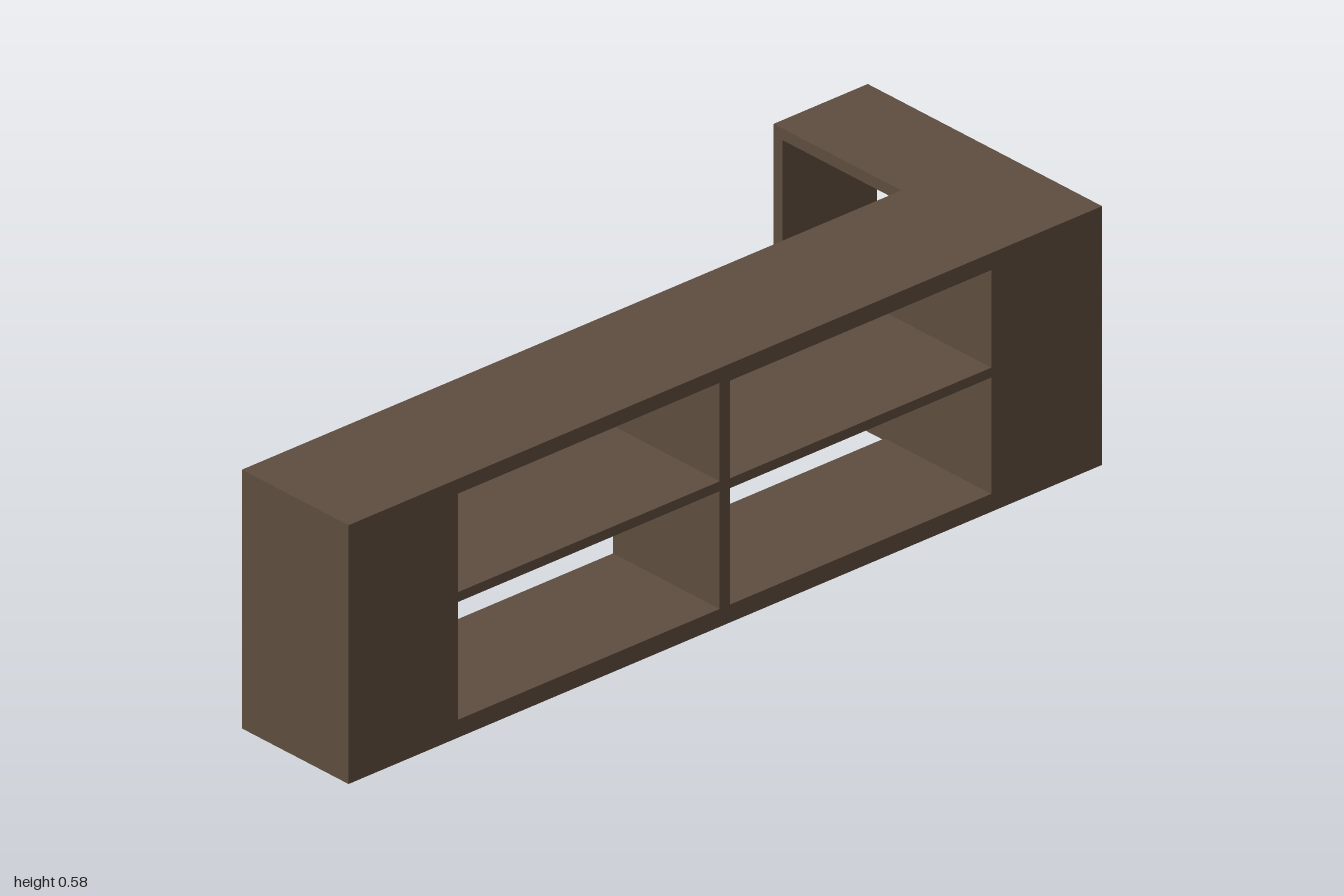
import * as THREE from 'three';

const HEIGHT = 0.578;
const wood = new THREE.MeshStandardMaterial({ color: 0x5f4d3f, flatShading: true });

// Rectangle outline added to a shape or path
function rect(path, x0, y0, x1, y1) {
  path.moveTo(x0, y0);
  path.lineTo(x1, y0);
  path.lineTo(x1, y1);
  path.lineTo(x0, y1);
  path.closePath();
  return path;
}

// Solid block with rectangular openings running right through it
function piercedBlock(name, x0, x1, openings, depth) {
  const shape = rect(new THREE.Shape(), x0, 0, x1, HEIGHT);
  for (const o of openings) shape.holes.push(rect(new THREE.Path(), ...o));
  const geometry = new THREE.ExtrudeGeometry(shape, { depth, bevelEnabled: false });
  const mesh = new THREE.Mesh(geometry, wood);
  mesh.name = name;
  return mesh;
}

export function createModel() {
  const model = new THREE.Group();
  model.name = 'cornerShelf';

  // Long run: four open compartments between two solid ends
  const longShelf = piercedBlock('longShelf', -1, 1, [
    [-0.71, 0.04, -0.015, 0.303],
    [-0.71, 0.325, -0.015, 0.545],
    [0.012, 0.04, 0.706, 0.3],
    [0.012, 0.322, 0.706, 0.54],
  ], 0.314);
  longShelf.position.z = 0.031;
  model.add(longShelf);

  // Short return at the back, open sideways with two compartments
  const returnShelf = piercedBlock('returnShelf', -0.031, 0.345, [
    [-0.008, 0.105, 0.318, 0.254],
    [-0.008, 0.323, 0.318, 0.552],
  ], 0.25);
  returnShelf.geometry.rotateY(Math.PI / 2);
  returnShelf.position.x = 0.75;
  model.add(returnShelf);

  return model;
}
